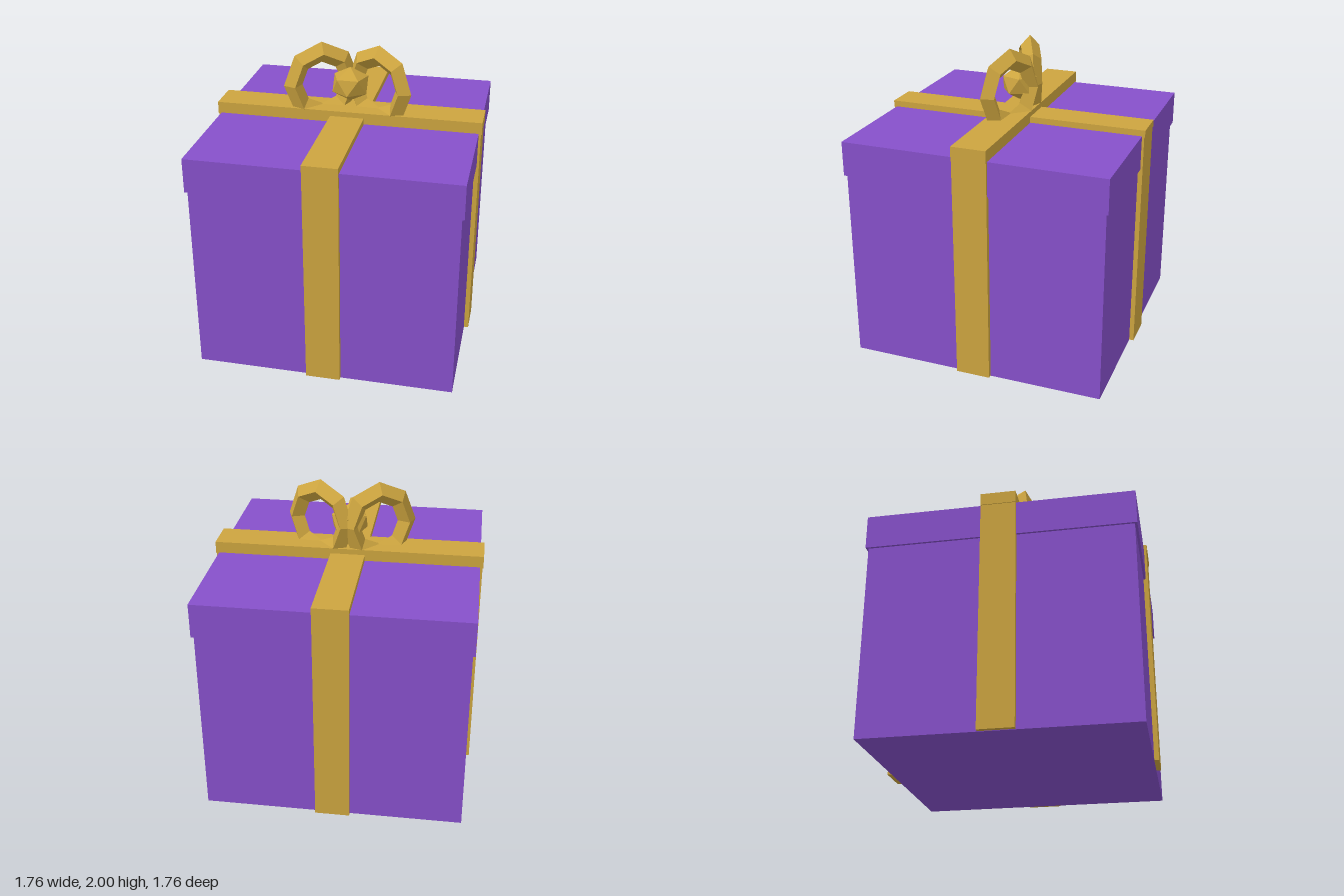
import * as THREE from 'three';

export function createModel() {
  const group = new THREE.Group();
  const purple = new THREE.MeshStandardMaterial({ color: 0x8650ca, flatShading: true });
  purple.name = 'purple paper';
  const gold = new THREE.MeshStandardMaterial({ color: 0xcca43f, flatShading: true });
  gold.name = 'gold ribbon';

  const add = (name, geometry, material, x, y, z) => {
    const mesh = new THREE.Mesh(geometry, material);
    mesh.name = name;
    mesh.position.set(x, y, z);
    group.add(mesh);
    return mesh;
  };
  // Box given by its size and bottom / top heights
  const block = (name, material, w, d, y0, y1, x = 0, z = 0) =>
    add(name, new THREE.BoxGeometry(w, y1 - y0, d), material, x, (y0 + y1) / 2, z);

  // Box and lid
  block('boxBody', purple, 1.69, 1.69, 0, 1.3);
  block('lid', purple, 1.72, 1.72, 1.27, 1.495);

  // Ribbon: two bands over the lid, four strips down the sides
  const width = 0.225;
  block('ribbonAcross', gold, 1.76, width, 1.49, 1.57);
  block('ribbonFrontToBack', gold, width, 1.76, 1.49, 1.535);
  for (const s of [1, -1]) {
    block('ribbonSide', gold, 0.07, width, 0.003, 1.5, s * 0.84, 0);
    block('ribbonEnd', gold, width, 0.07, 0.003, 1.5, 0, s * 0.84);
  }

  // Bow loops, angled towards the front
  for (const s of [1, -1]) {
    const loop = add('bowLoop', new THREE.TorusGeometry(0.212, 0.068, 4, 8), gold, s * 0.19, 1.72, 0);
    loop.scale.set(0.91, 1, 0.91);
    loop.rotation.y = -s * 0.45;
  }

  // Knot: icosahedron standing on one corner
  const knot = new THREE.IcosahedronGeometry(0.13, 0);
  knot.rotateZ(Math.atan(2 / (1 + Math.sqrt(5))));
  knot.rotateY(-Math.PI / 2);
  knot.scale(1.02, 0.89, 0.98);
  add('bowKnot', knot, gold, 0, 1.727, 0);

  return group;
}
